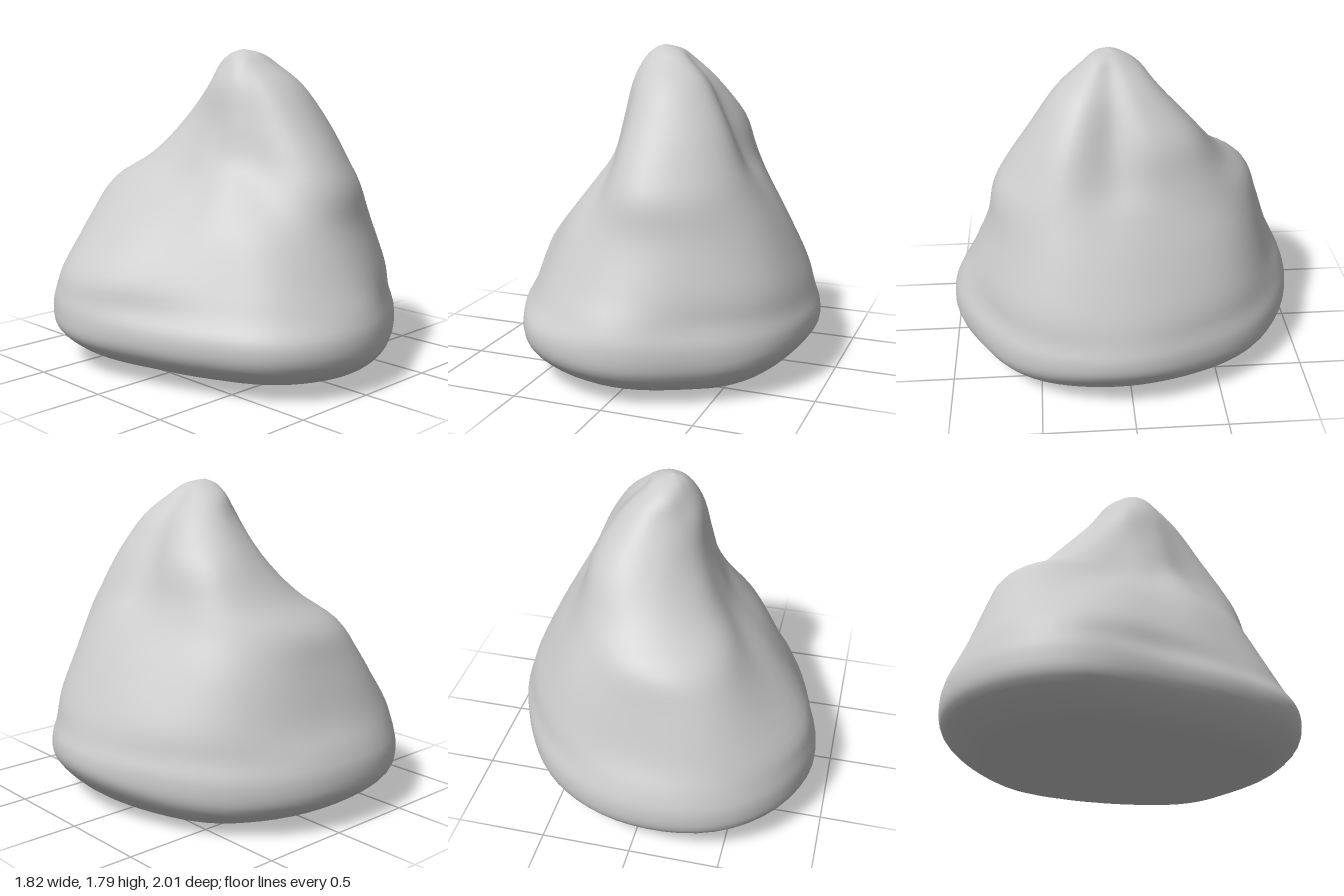
import * as THREE from 'three';

const AXIS_Z = 0.08; // the sections are measured around a vertical axis through the peak

// Widest outline: radii every 30 degrees, starting at +x and turning towards the front
const base = [0.9, 0.9, 0.87, 0.92, 0.9, 0.81, 0.84, 1.04, 1.13, 1.07, 0.98, 0.9];
const scaled = (s) => base.map((r) => r * s);

// Cross-sections from the underside to the peak
const sections = [
  { y: 0.02, r: scaled(0) },
  { y: 0.03, r: scaled(0.4) },
  { y: 0.055, r: scaled(0.72) },
  { y: 0.1, r: scaled(0.87) },
  { y: 0.2, r: scaled(0.985) },
  { y: 0.33, r: base },
  { y: 0.45, r: [0.87, 0.87, 0.83, 0.88, 0.83, 0.75, 0.79, 1.02, 1.1, 1.03, 0.94, 0.87] },
  { y: 0.6, r: [0.82, 0.84, 0.8, 0.8, 0.75, 0.68, 0.74, 0.96, 1.04, 0.95, 0.9, 0.83] },
  { y: 0.85, r: [0.7, 0.74, 0.72, 0.69, 0.61, 0.55, 0.56, 0.72, 0.92, 0.87, 0.81, 0.71] },
  { y: 1.05, r: [0.58, 0.65, 0.67, 0.64, 0.45, 0.4, 0.38, 0.48, 0.78, 0.8, 0.71, 0.6] },
  { y: 1.2, r: [0.47, 0.58, 0.59, 0.56, 0.35, 0.29, 0.29, 0.35, 0.54, 0.63, 0.63, 0.53] },
  { y: 1.4, r: [0.37, 0.48, 0.47, 0.42, 0.28, 0.23, 0.21, 0.24, 0.33, 0.44, 0.52, 0.46] },
  { y: 1.6, r: [0.27, 0.34, 0.33, 0.28, 0.21, 0.18, 0.17, 0.18, 0.2, 0.25, 0.32, 0.31] },
  { y: 1.72, r: [0.16, 0.2, 0.18, 0.15, 0.13, 0.12, 0.11, 0.11, 0.13, 0.17, 0.19, 0.18] },
  { y: 1.78, r: [0.1, 0.11, 0.1, 0.08, 0.07, 0.06, 0.06, 0.06, 0.07, 0.08, 0.09, 0.1] },
  { y: 1.805, r: scaled(0) },
];

// Catmull-Rom interpolation between b and c
function spline(a, b, c, d, t) {
  return b + 0.5 * t * (c - a + t * (2 * a - 5 * b + 4 * c - d + t * (3 * (b - c) + d - a)));
}

// Radius of a section at a position around the closed outline
function radiusAt(r, u) {
  const n = r.length, i = Math.floor(u), at = (k) => r[(i + k + n) % n];
  return spline(at(-1), at(0), at(1), at(2), u - i);
}

// Smooth skin over all cross-sections
function boulderGeometry(around = 72, steps = 4) {
  const last = sections.length - 1;
  const rows = last * steps;
  const positions = [], index = [];
  for (let row = 0; row <= rows; row++) {
    const i = Math.min(Math.floor(row / steps), last - 1);
    const t = row / steps - i;
    const near = [-1, 0, 1, 2].map((k) => sections[THREE.MathUtils.clamp(i + k, 0, last)]);
    const y = spline(...near.map((s) => s.y), t);
    const low = 1 - THREE.MathUtils.smoothstep(y, 0.05, 0.5);
    for (let j = 0; j < around; j++) {
      const a = (j / around) * Math.PI * 2;
      const u = (j / around) * base.length;
      const r = Math.max(0, spline(...near.map((s) => radiusAt(s.r, u)), t));
      const x = r * Math.cos(a), z = AXIS_Z + r * Math.sin(a);
      // the underside dips towards the left, then rises again at its left rim
      const lift = 0.6 * Math.max(0, x - 0.45) ** 2 - 0.04 * x;
      positions.push(x, Math.max(0, y + lift * low), z);
    }
  }
  for (let row = 0; row < rows; row++) {
    for (let j = 0; j < around; j++) {
      const k = (j + 1) % around;
      const a = row * around + j, b = row * around + k;
      const c = a + around, d = b + around;
      if (row < rows - 1) index.push(a, c, d);
      else index.push(a, c, b);
      if (row > 0 && row < rows - 1) index.push(a, d, b);
    }
  }
  const geometry = new THREE.BufferGeometry();
  geometry.setAttribute('position', new THREE.Float32BufferAttribute(positions, 3));
  geometry.setIndex(index);
  geometry.computeVertexNormals();
  return geometry;
}

export function createModel() {
  const group = new THREE.Group();
  group.name = 'rock';
  const boulder = new THREE.Mesh(
    boulderGeometry(),
    new THREE.MeshStandardMaterial({ color: 0xcccccc })
  );
  boulder.name = 'boulder';
  group.add(boulder);
  return group;
}
